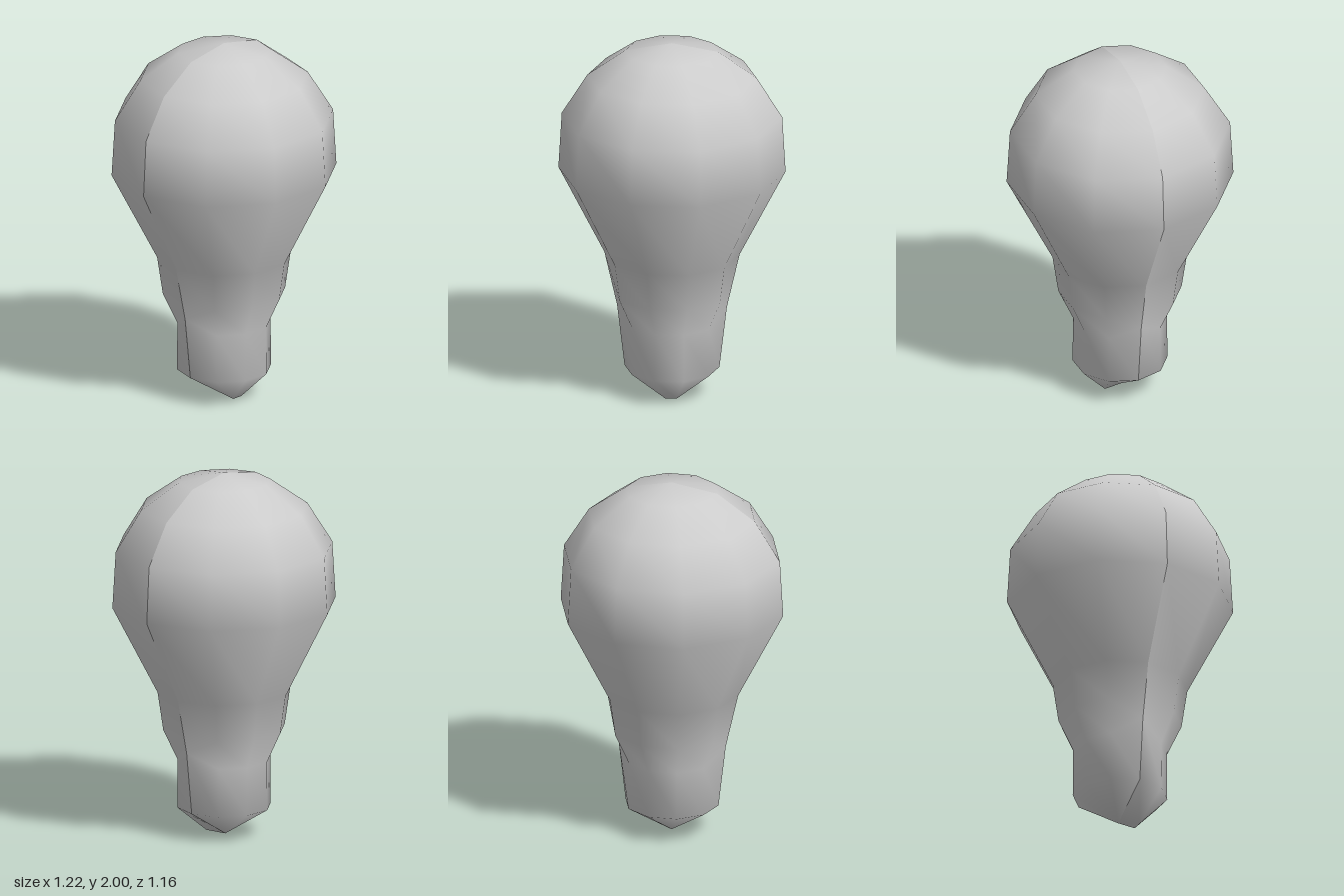
import * as THREE from 'three';
import { mergeVertices } from 'three/addons/utils/BufferGeometryUtils.js';

const SIDES = 10;
const HALF = SIDES / 2;

// [radius, y] from the crown down to the rim of the base
const PROFILE = [
  [0, 2], [0.25, 1.955], [0.455, 1.81], [0.592, 1.59], [0.61, 1.28],
  [0.363, 0.8], [0.332, 0.59], [0.253, 0.42], [0.255, 0.155],
];
// the two seam columns have a single neck point in place of two
const SEAM_NECK = [0.295, 0.5];

const TIP = [0, 0, -0.01];
const FRONT_TIP = [
  TIP, [0.03, 0.005, 0.1], [0.03, 0.005, 0.1],
  [-0.03, 0.005, 0.1], [-0.03, 0.005, 0.1], TIP,
];
const BACK_TIP = Array(HALF + 1).fill(TIP);

// One half shell, smooth inside but with a hard seam against the other half
function halfShell(startAngle, tip) {
  const positions = [];
  const columns = HALF + 1;
  PROFILE.forEach(([r, y], j) => {
    for (let k = 0; k < columns; k++) {
      const onSeam = k === 0 || k === HALF;
      const [radius, height] = onSeam && (j === 6 || j === 7) ? SEAM_NECK : [r, y];
      const a = startAngle + (k / SIDES) * Math.PI * 2;
      positions.push(radius * Math.cos(a), height, radius * Math.sin(a));
    }
  });
  tip.forEach((p) => positions.push(...p));

  const index = [];
  for (let j = 0; j < PROFILE.length; j++) {
    for (let k = 0; k < HALF; k++) {
      const a = j * columns + k;
      const c = a + columns;
      index.push(a, a + 1, c, a + 1, c + 1, c);
    }
  }
  // underside of the tip
  const t = PROFILE.length * columns;
  index.push(t + 3, t, t + 1);

  const raw = new THREE.BufferGeometry();
  raw.setAttribute('position', new THREE.Float32BufferAttribute(positions, 3));
  raw.setIndex(index);
  const geometry = mergeVertices(raw, 1e-4);

  // drop the collapsed triangles at the crown, neck and tip
  const merged = geometry.index.array;
  const kept = [];
  for (let i = 0; i < merged.length; i += 3) {
    const [a, b, c] = [merged[i], merged[i + 1], merged[i + 2]];
    if (a !== b && b !== c && c !== a) kept.push(a, b, c);
  }
  geometry.setIndex(kept);
  geometry.computeVertexNormals();
  return geometry;
}

export function createModel() {
  const group = new THREE.Group();
  group.name = 'lightBulb';
  const material = new THREE.MeshStandardMaterial({ color: 0xcccccc });

  const front = new THREE.Mesh(halfShell(0, FRONT_TIP), material);
  front.name = 'bulbFrontHalf';
  const back = new THREE.Mesh(halfShell(Math.PI, BACK_TIP), material);
  back.name = 'bulbBackHalf';

  group.add(front, back);
  return group;
}
